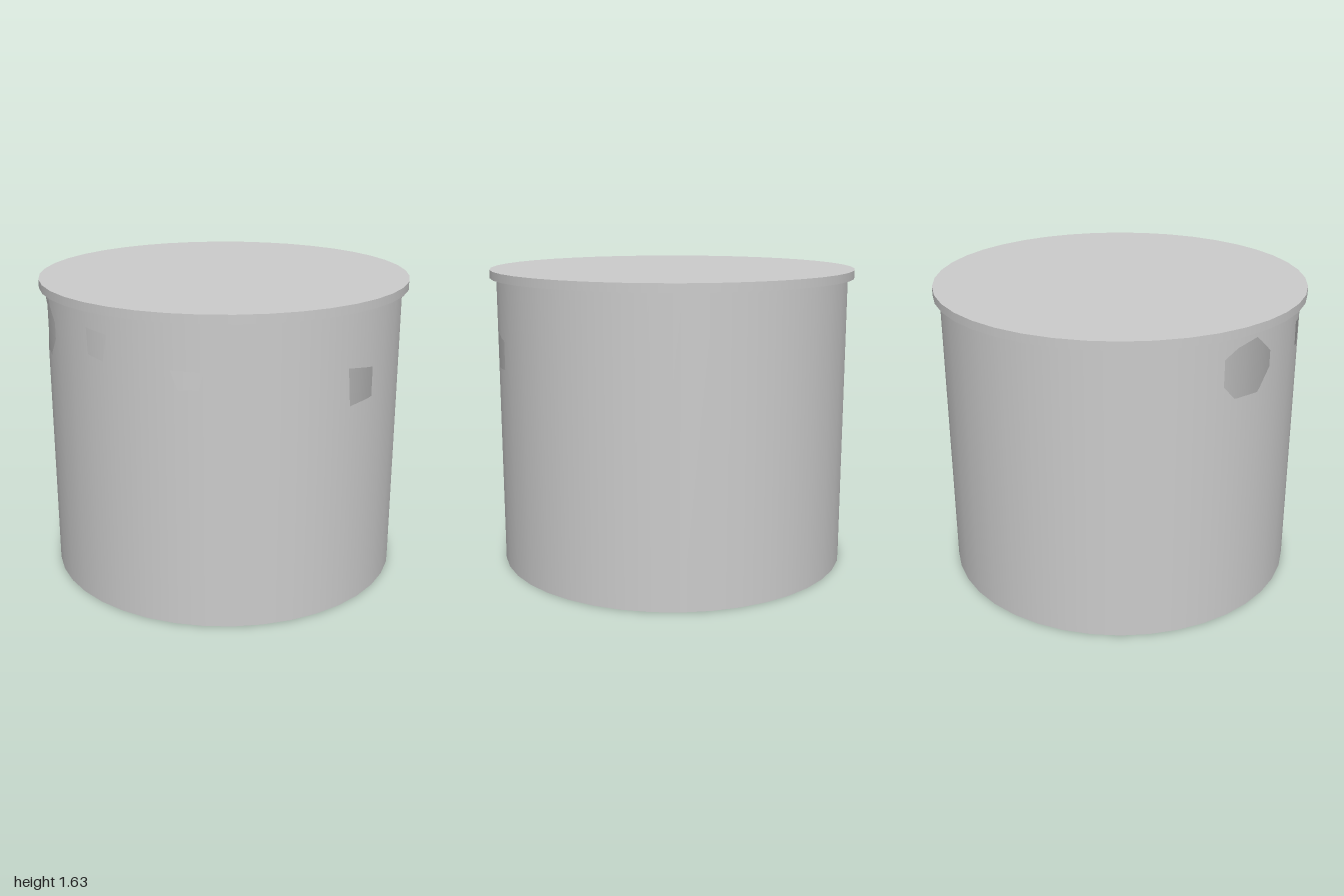
import * as THREE from 'three';

const SIDES = 40, STEP = (Math.PI * 2) / SIDES;
const R = 0.965, WALL_TOP = 1.585, TOP = 1.63;

// Convex openings in the front half of the wall, as [x, y] corners
const OPENINGS = [
  [[-0.864, 1.52], [-0.8, 1.545], [-0.73, 1.447], [-0.73, 1.361],
    [-0.789, 1.254], [-0.869, 1.26], [-0.896, 1.334], [-0.896, 1.473]],
  [[-0.468, 1.495], [-0.34, 1.479], [-0.366, 1.342], [-0.46, 1.361]],
  [[0, 1.347], [0.158, 1.342], [0.136, 1.257], [0.035, 1.251]],
  [[0.783, 1.302], [0.88, 1.273], [0.88, 1.118], [0.794, 1.104]],
].map((corners) => corners.map(([x, y]) => [Math.asin(x / R), y]));

// Lowest and highest point of an opening at angle a
function span(opening, a) {
  const ys = [];
  opening.forEach(([a0, y0], i) => {
    const [a1, y1] = opening[(i + 1) % opening.length];
    if (a < Math.min(a0, a1) - 1e-6 || a > Math.max(a0, a1) + 1e-6) return;
    if (Math.abs(a1 - a0) < 1e-6) ys.push(y0, y1);
    else ys.push(y0 + ((y1 - y0) * (a - a0)) / (a1 - a0));
  });
  return ys.length ? [Math.min(...ys), Math.max(...ys)] : null;
}

// Thin wall made of upright strips, split below and above each opening
function wallGeometry() {
  const angles = OPENINGS.flat().map(([a]) => a);
  for (let i = 0; i <= SIDES; i++) angles.push(-Math.PI + i * STEP);
  angles.sort((a, b) => a - b);
  const stops = angles.filter((a, i) => i === 0 || a - angles[i - 1] > 1e-5);

  const positions = [], normals = [];
  const corner = (a, y) => {
    // keep points on the flat facets of the polygon
    const middle = (Math.floor(a / STEP + 1e-6) + 0.5) * STEP;
    const r = (R * Math.cos(STEP / 2)) / Math.cos(a - middle);
    positions.push(r * Math.sin(a), y, r * Math.cos(a));
    normals.push(Math.sin(a), 0, Math.cos(a));
  };
  const strip = (a, b, a0, b0, a1, b1) => {
    corner(a, a0); corner(b, b0); corner(b, b1);
    corner(a, a0); corner(b, b1); corner(a, a1);
  };
  for (let i = 0; i < stops.length - 1; i++) {
    const a = stops[i], b = stops[i + 1];
    const opening = OPENINGS.find((o) => span(o, (a + b) / 2));
    if (!opening) {
      strip(a, b, 0, 0, WALL_TOP, WALL_TOP);
      continue;
    }
    const [aLow, aHigh] = span(opening, a), [bLow, bHigh] = span(opening, b);
    strip(a, b, 0, 0, aLow, bLow);
    strip(a, b, aHigh, bHigh, WALL_TOP, WALL_TOP);
  }
  const geometry = new THREE.BufferGeometry();
  geometry.setAttribute('position', new THREE.Float32BufferAttribute(positions, 3));
  geometry.setAttribute('normal', new THREE.Float32BufferAttribute(normals, 3));
  return geometry;
}

export function createModel() {
  const group = new THREE.Group();
  group.name = 'coveredDrum';

  // Hollow wall, open at the bottom
  const wall = new THREE.Mesh(
    wallGeometry(),
    new THREE.MeshStandardMaterial({ color: 0xcccccc, side: THREE.DoubleSide }),
  );
  wall.name = 'wall';

  // Overhanging flat lid
  const lid = new THREE.Mesh(
    new THREE.CylinderGeometry(1, 1, TOP - WALL_TOP, SIDES),
    new THREE.MeshStandardMaterial({ color: 0xcccccc }),
  );
  lid.name = 'lid';
  lid.position.y = (TOP + WALL_TOP) / 2;

  group.add(wall, lid);
  return group;
}
